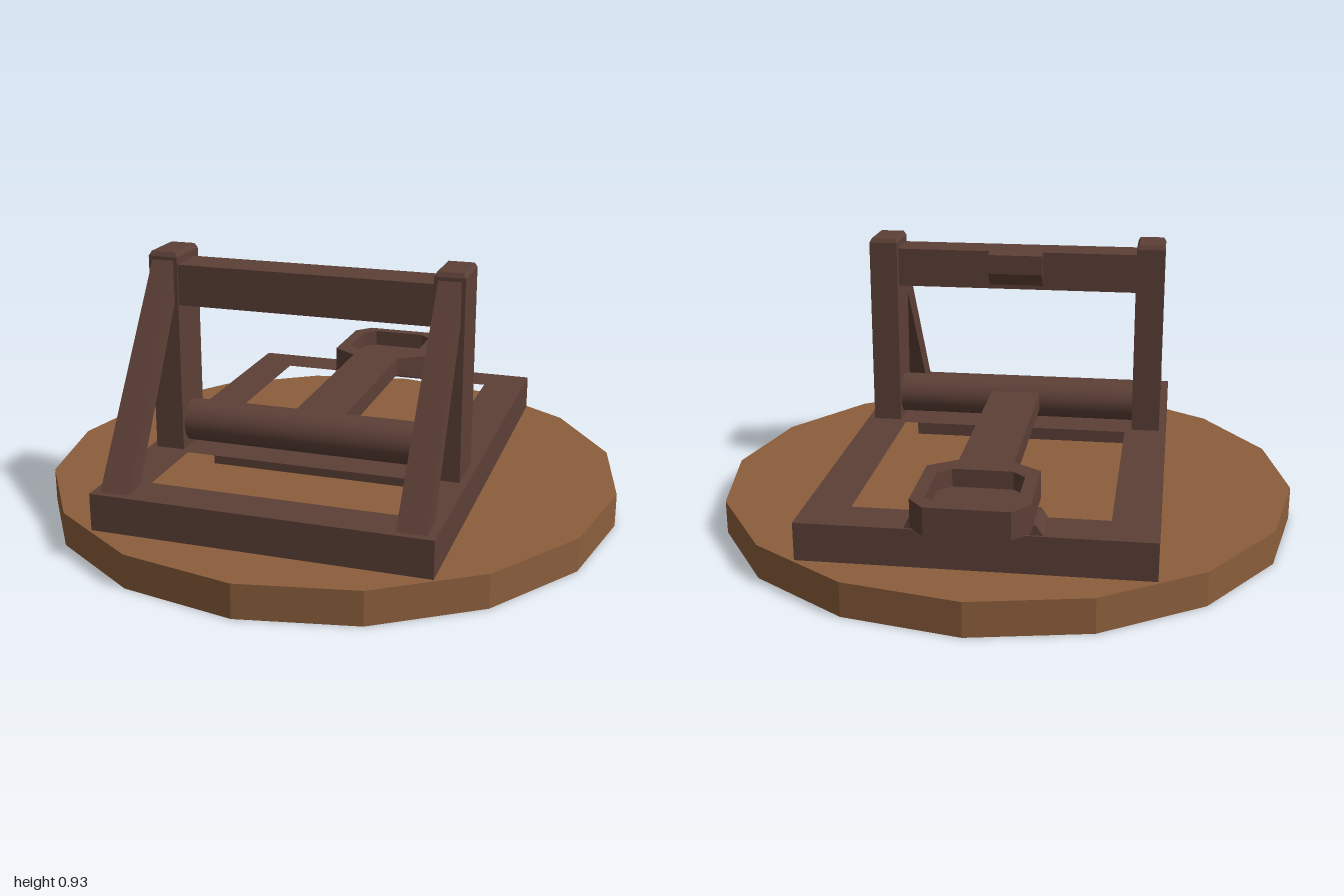
import * as THREE from 'three';

const timber = new THREE.MeshStandardMaterial({ color: 0x5d4037 });
timber.name = 'darkTimber';
const wood = new THREE.MeshStandardMaterial({ color: 0x8b5e3c });
wood.name = 'lightWood';

export function createModel() {
  const model = new THREE.Group();
  model.name = 'catapult';

  function add(name, geometry, material = timber, parent = model) {
    const mesh = new THREE.Mesh(geometry, material);
    mesh.name = name;
    parent.add(mesh);
    return mesh;
  }

  // Box given by its limits; the top can be inset in x and z.
  function block(x0, x1, y0, y1, z0, z1, insetX = 0, insetZ = 0) {
    const g = new THREE.BoxGeometry(x1 - x0, y1 - y0, z1 - z0);
    const p = g.attributes.position;
    for (let i = 0; i < p.count; i++) {
      if (p.getY(i) > 0) {
        p.setX(i, p.getX(i) - Math.sign(p.getX(i)) * insetX);
        p.setZ(i, p.getZ(i) - Math.sign(p.getZ(i)) * insetZ);
      }
    }
    g.translate((x0 + x1) / 2, (y0 + y1) / 2, (z0 + z1) / 2);
    g.computeVertexNormals();
    return g;
  }

  const points = (list) => list.map(([a, b]) => new THREE.Vector2(a, b));
  const mirrored = (half) => [...half, ...half.map(([x, z]) => [-x, z]).reverse()];

  // Plan outline in [x, z], extruded upward from y0 to y1.
  function slab(outline, y0, y1, holes = []) {
    const flip = (list) => points(list.map(([x, z]) => [x, -z]));
    const shape = new THREE.Shape(flip(outline));
    holes.forEach((h) => shape.holes.push(new THREE.Path(flip(h))));
    const g = new THREE.ExtrudeGeometry(shape, { depth: y1 - y0, bevelEnabled: false });
    return g.rotateX(-Math.PI / 2).translate(0, y0, 0);
  }

  // Side profile in [z, y], extruded along x about its centre.
  function profile(list, width) {
    const shape = new THREE.Shape(points(list.map(([z, y]) => [-z, y])));
    const g = new THREE.ExtrudeGeometry(shape, { depth: width, bevelEnabled: false });
    return g.translate(0, 0, -width / 2).rotateY(Math.PI / 2);
  }

  // Sixteen-sided base
  const disc = new THREE.CylinderGeometry(1, 1, 0.115, 16).toNonIndexed();
  disc.computeVertexNormals();
  add('baseDisc', disc.translate(0, 0.0575, 0), wood);

  // Ground frame with two openings
  const rect = (x, z0, z1) => [[-x, z0], [x, z0], [x, z1], [-x, z1]];
  add('groundFrame', slab(rect(0.557, -0.797, 0.797), 0.115, 0.24,
    [rect(0.408, -0.652, 0.155), rect(0.408, 0.375, 0.657)]));

  // Posts with bevelled tops, and tapering braces
  for (const [side, s] of [['left', 1], ['right', -1]]) {
    const group = new THREE.Group();
    group.name = side + 'Upright';
    group.position.x = s * 0.482;
    model.add(group);
    add('post', block(-0.05, 0.05, 0.24, 0.912, 0.184, 0.355), timber, group);
    add('postCap', block(-0.05, 0.05, 0.912, 0.927, 0.184, 0.355, 0.008, 0.008), timber, group);
    const brace = profile([[0.35, 0.908], [0.35, 0.765], [0.69, 0.235], [0.777, 0.235]], 0.1);
    const p = brace.attributes.position;
    for (let i = 0; i < p.count; i++) {
      p.setX(i, p.getX(i) * (p.getY(i) > 0.5 ? 0.74 : 0.96));
    }
    brace.computeVertexNormals();
    add('brace', brace, timber, group);
  }

  // Crossbeam and its stop pad
  add('crossbeam', block(-0.435, 0.435, 0.75, 0.887, 0.21, 0.35));
  add('stopPad', profile([[0.22, 0.887], [0.21, 0.887], [0.184, 0.878], [0.184, 0.81],
    [0.21, 0.765], [0.22, 0.765]], 0.195));

  // Winding roller
  const roller = new THREE.CylinderGeometry(0.072, 0.072, 0.87, 32).rotateZ(Math.PI / 2);
  add('roller', roller.translate(0, 0.324, 0.27));

  // Throwing arm
  add('throwingArm', block(-0.089, 0.089, 0.295, 0.36, -0.52, 0.26));

  // Bucket: rim with octagonal opening, solid floor
  const bucketOutline = mirrored([[0.089, -0.51], [0.181, -0.572], [0.181, -0.845], [0.13, -0.903]]);
  const opening = mirrored([[0.097, -0.59], [0.138, -0.63], [0.138, -0.823], [0.097, -0.862]]);
  add('bucketRim', slab(bucketOutline, 0.30, 0.36, [opening]));
  const floor = slab(bucketOutline, 0.27, 0.30);
  const fp = floor.attributes.position;
  // Slope the underside up to the arm
  for (let i = 0; i < fp.count; i++) {
    if (fp.getY(i) < 0.28 && fp.getZ(i) > -0.53) fp.setY(i, 0.293);
  }
  floor.computeVertexNormals();
  add('bucketFloor', floor);

  // Rest under the bucket
  add('bucketRest', block(-0.212, 0.212, 0.24, 0.272, -0.79, -0.648, 0.022, 0));

  return model;
}
